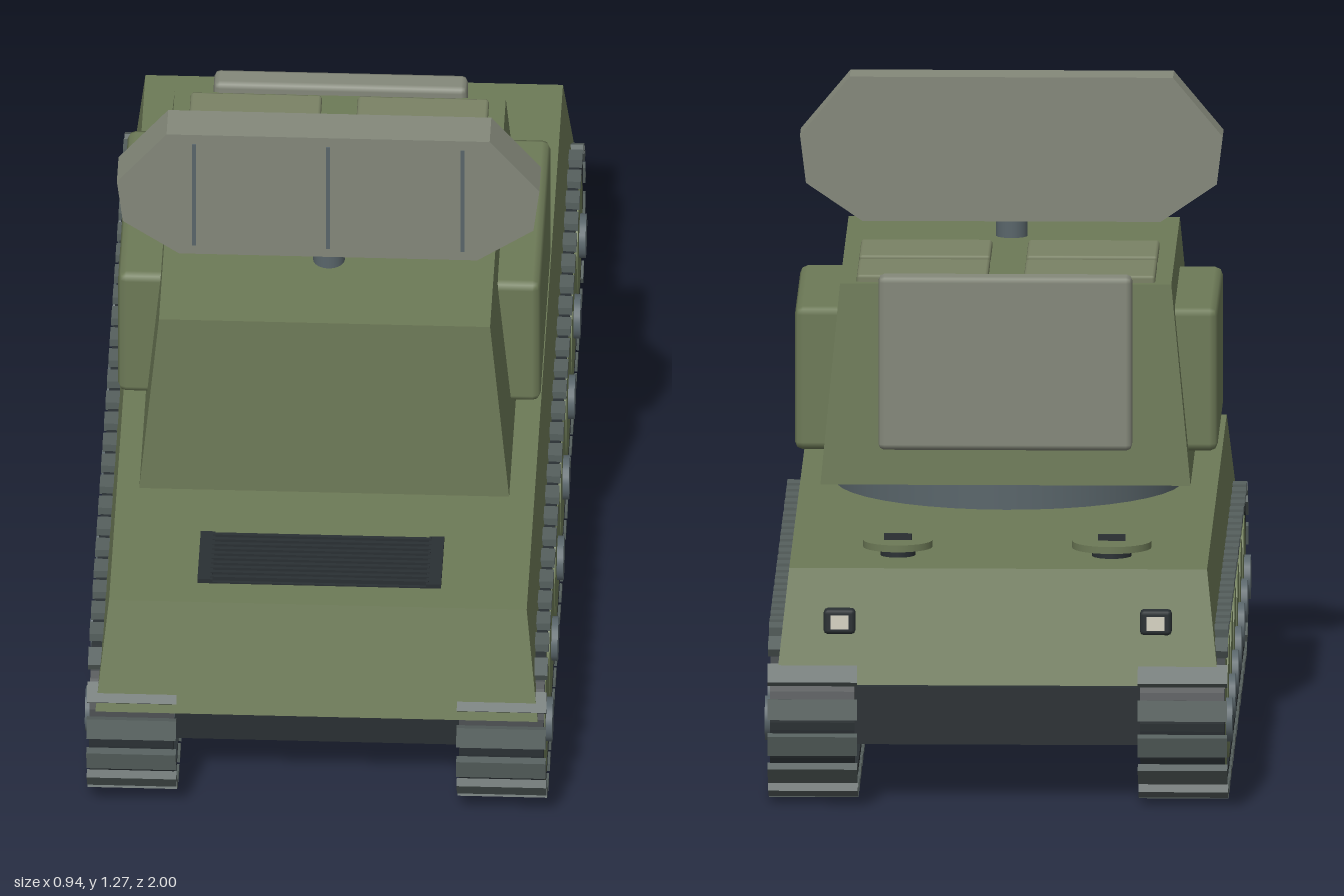
import * as THREE from 'three';
import { RoundedBoxGeometry } from 'three/addons/geometries/RoundedBoxGeometry.js';

const mat = (color) => new THREE.MeshStandardMaterial({ color });
const green = mat(0x6d7a57), panelGreen = mat(0x7a8265), plateGrey = mat(0x84887a);
const steel = mat(0x59656a), padGrey = mat(0x56605e), dark = mat(0x2a3033), lens = mat(0xd8d4c4);

export function createModel() {
  const root = new THREE.Group();

  const add = (name, geometry, material, x, y, z, parent = root) => {
    const mesh = new THREE.Mesh(geometry, material);
    mesh.name = name;
    mesh.position.set(x, y, z);
    parent.add(mesh);
    return mesh;
  };
  // Box given by its limits
  const block = (name, material, x0, x1, y0, y1, z0, z1, parent = root) =>
    add(name, new THREE.BoxGeometry(x1 - x0, y1 - y0, z1 - z0), material,
      (x0 + x1) / 2, (y0 + y1) / 2, (z0 + z1) / 2, parent);
  // Box with chamfered edges, given by its limits
  const chamferBlock = (name, material, r, x0, x1, y0, y1, z0, z1) =>
    add(name, new RoundedBoxGeometry(x1 - x0, y1 - y0, z1 - z0, 1, r), material,
      (x0 + x1) / 2, (y0 + y1) / 2, (z0 + z1) / 2);
  // Tapered box: half widths and z limits at the bottom and at the top
  const taper = (name, material, y0, y1, bottom, top) => {
    const g = new THREE.BoxGeometry(2, 1, 2);
    const p = g.attributes.position;
    for (let i = 0; i < p.count; i++) {
      const up = p.getY(i) > 0;
      const [w, back, front] = up ? top : bottom;
      p.setXYZ(i, p.getX(i) * w, up ? y1 : y0, p.getZ(i) > 0 ? front : back);
    }
    g.computeVertexNormals();
    return add(name, g, material, 0, 0, 0);
  };

  // Hull
  taper('upperHull', green, 0.255, 0.482, [0.445, -0.97, 0.97], [0.42, -0.905, 0.9]);
  block('lowerHull', dark, -0.3, 0.3, 0.115, 0.232, -0.86, 0.86);

  // Running gear
  const endZ = 0.823, trackY = 0.18, outerR = 0.16, innerR = 0.142;
  const stadium = (path, r) => {
    path.moveTo(-endZ, -r);
    path.lineTo(endZ, -r);
    path.absarc(endZ, 0, r, -Math.PI / 2, Math.PI / 2, false);
    path.lineTo(-endZ, r);
    path.absarc(-endZ, 0, r, Math.PI / 2, Math.PI * 1.5, false);
    return path;
  };
  const bandShape = stadium(new THREE.Shape(), outerR);
  bandShape.holes.push(stadium(new THREE.Path(), innerR));
  const bandGeo = new THREE.ExtrudeGeometry(bandShape, { depth: 0.17, bevelEnabled: false, curveSegments: 16 });
  bandGeo.translate(0, 0, -0.085).rotateY(Math.PI / 2);
  const padGeo = new THREE.BoxGeometry(0.18, 0.018, 0.042);
  const wheelGeo = new THREE.CylinderGeometry(0.124, 0.124, 0.15, 28).rotateZ(Math.PI / 2);
  const hubGeo = new THREE.CylinderGeometry(0.045, 0.045, 0.18, 20).rotateZ(Math.PI / 2);
  const padCount = 60, straight = 2 * endZ, padR = outerR + 0.007;
  const arc = Math.PI * padR, loop = 2 * (straight + arc);

  for (const side of [1, -1]) {
    const gear = new THREE.Group();
    gear.name = side > 0 ? 'leftTrack' : 'rightTrack';
    root.add(gear);
    add('trackBand', bandGeo, dark, side * 0.372, trackY, 0, gear);
    for (let i = 0; i < padCount; i++) {
      // Walk along half of the loop, then mirror it through the centre
      let s = (i / padCount) * loop;
      const flip = s >= loop / 2 ? -1 : 1;
      if (flip < 0) s -= loop / 2;
      let z = -endZ + s, y = -padR, a = 0;
      if (s > straight) {
        a = (s - straight) / padR;
        z = endZ + padR * Math.sin(a);
        y = -padR * Math.cos(a);
      }
      add('trackPad', padGeo, padGrey, side * 0.372, trackY + y * flip, z * flip, gear).rotation.x = -a;
    }
    for (let i = -3; i <= 3; i++) {
      add('roadWheel', wheelGeo, green, side * 0.382, 0.163, i * 0.277, gear);
      add('wheelHub', hubGeo, steel, side * 0.38, 0.163, i * 0.277, gear);
    }
  }

  // Turret with its ring, side boxes, rear plate and roof plates
  add('turretRing', new THREE.CylinderGeometry(0.35, 0.35, 0.07, 40), steel, 0, 0.51, 0.13);
  taper('turret', green, 0.535, 0.942, [0.372, -0.235, 0.587], [0.333, -0.215, 0.57]);
  for (const side of [1, -1]) {
    const [x0, x1] = side > 0 ? [0.3, 0.425] : [-0.425, -0.3];
    chamferBlock('turretSideBox', green, 0.016, x0, x1, 0.592, 0.884, -0.166, 0.342);
    for (const z of [-0.1, 0.128]) {
      chamferBlock('roofPlate', panelGreen, 0.006, side * 0.168 - 0.132, side * 0.168 + 0.132,
        0.93, 0.956, z - 0.096, z + 0.096);
    }
  }
  chamferBlock('rearPlate', plateGrey, 0.012, -0.255, 0.255, 0.61, 0.964, -0.268, -0.212);

  // Radar panel on a short mast
  add('radarMast', new THREE.CylinderGeometry(0.032, 0.032, 0.1, 20), steel, 0, 0.98, 0.35);
  const outline = [[-0.3, 0.978], [0.3, 0.978], [0.413, 1.055], [0.425, 1.152],
    [0.325, 1.272], [-0.325, 1.272], [-0.425, 1.152], [-0.413, 1.055]];
  const radarShape = new THREE.Shape(outline.map(([x, y]) => new THREE.Vector2(x, y)));
  add('radarPanel', new THREE.ExtrudeGeometry(radarShape, { depth: 0.084, bevelEnabled: false }),
    plateGrey, 0, 0, 0.308);
  for (const x of [-0.27, 0, 0.27]) block('radarRib', steel, x - 0.004, x + 0.004, 1.0, 1.25, 0.385, 0.395);

  // Engine grille on the front deck
  block('grilleBase', dark, -0.245, 0.245, 0.47, 0.485, 0.67, 0.835);
  for (const x of [-0.23, 0.23]) block('grilleFrame', dark, x - 0.015, x + 0.015, 0.48, 0.492, 0.67, 0.835);
  for (let i = 0; i < 10; i++) {
    const z = 0.68 + i * 0.0161;
    block('grilleSlat', dark, -0.22, 0.22, 0.482, 0.494, z - 0.004, z + 0.004);
  }

  // Rear deck hatches
  for (const [x, r] of [[-0.225, 0.08], [0.205, 0.07]]) {
    add('hatchStem', new THREE.CylinderGeometry(r * 0.5, r * 0.5, 0.03, 20), dark, x, 0.49, -0.747);
    add('hatchLid', new THREE.CylinderGeometry(r, r, 0.014, 28), green, x, 0.506, -0.747);
    block('hatchHandle', dark, x - 0.028, x + 0.028, 0.512, 0.525, -0.752, -0.742);
  }

  // Tail lights
  for (const x of [-0.318, 0.318]) {
    chamferBlock('tailLight', dark, 0.008, x - 0.032, x + 0.032, 0.355, 0.405, -0.956, -0.91);
    block('tailLightLens', lens, x - 0.018, x + 0.018, 0.366, 0.394, -0.96, -0.95);
  }
  return root;
}
